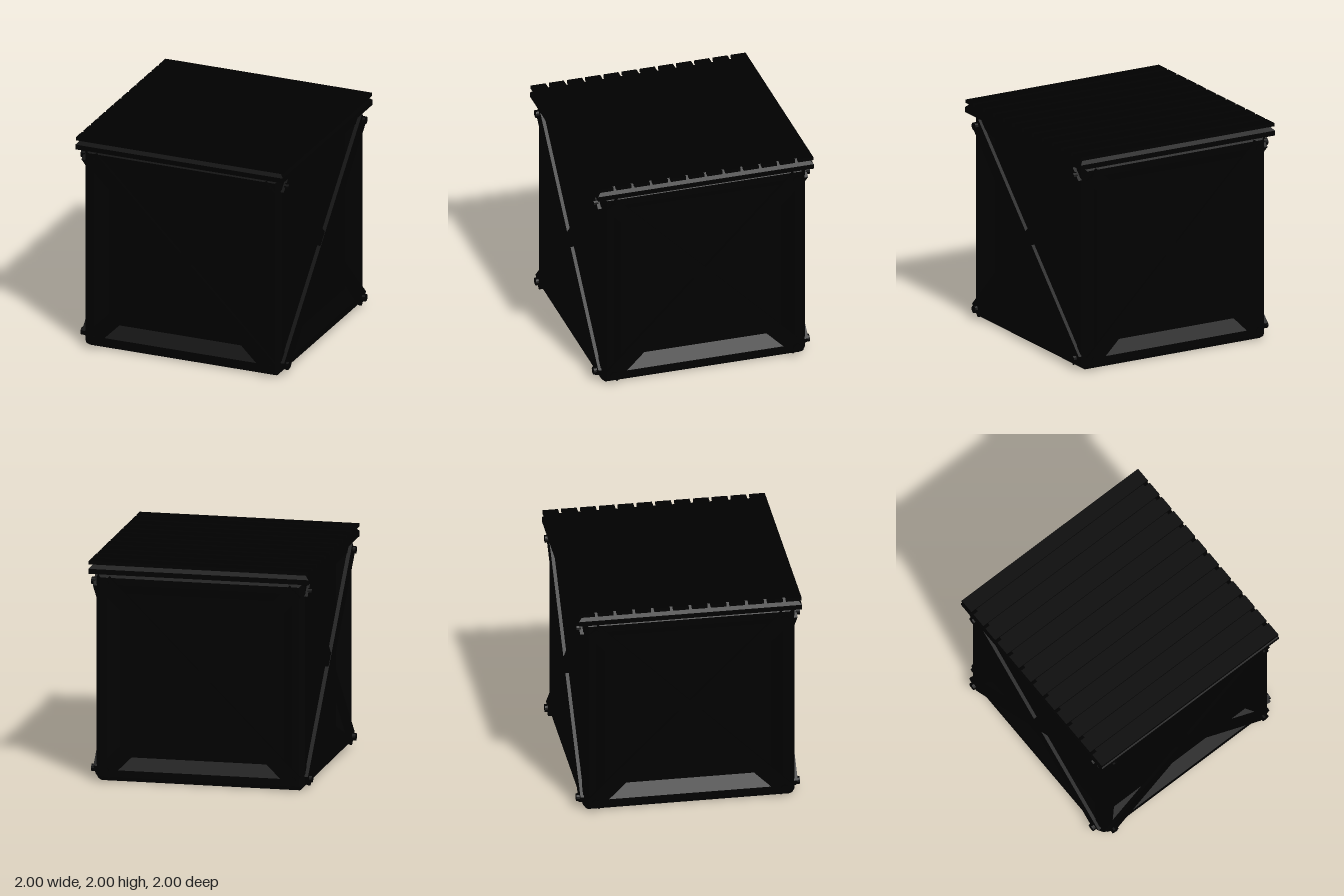
import * as THREE from 'three';

const MID = 0.945; // half height of the crate body
const material = new THREE.MeshStandardMaterial({ color: 0x000000, flatShading: true, side: THREE.DoubleSide });

function add(parent, name, geometry, x = 0, y = 0, z = 0) {
  const mesh = new THREE.Mesh(geometry, material);
  mesh.name = name;
  mesh.position.set(x, y, z);
  parent.add(mesh);
  return mesh;
}

// Square ring or slab from a profile of [half width, height] pairs
function squareLathe(profile) {
  const points = profile.map(([w, h]) => new THREE.Vector2(w * Math.SQRT2, h));
  return new THREE.LatheGeometry(points, 4, Math.PI / 4);
}

// Chamfered outer edge, flat frame, bevel and recessed panel
const framedPanel = squareLathe([
  [0.9225, 0.9225], [0.9, MID], [0.84, MID], [0.74, 0.845], [0, 0.845],
]);

// One side: framed panel with crossed braces bolted on top of the frame
function createSide() {
  const side = new THREE.Group();
  side.name = 'side';
  add(side, 'framedPanel', framedPanel).rotation.x = Math.PI / 2;

  for (const s of [-1, 1]) {
    const depth = s > 0 ? 0.035 : 0.031;
    const brace = add(side, 'diagonalBrace', new THREE.BoxGeometry(2.448, 0.14, depth), 0, 0, 0.94 + depth / 2);
    brace.rotation.z = s * Math.PI / 4;
  }

  const bolt = new THREE.CylinderGeometry(0.035, 0.035, 0.04, 12).rotateX(Math.PI / 2);
  for (const x of [-0.847, 0.847])
    for (const y of [-0.847, 0.847]) add(side, 'bolt', bolt, x, y, 0.98);
  return side;
}

export function createModel() {
  const crate = new THREE.Group();
  crate.name = 'crate';

  // Four identical sides
  for (let i = 0; i < 4; i++) {
    const side = createSide();
    side.position.y = MID;
    side.rotation.y = i * Math.PI / 2;
    crate.add(side);
  }

  // Floor and top of the body, framed like the sides
  add(crate, 'bodyTop', framedPanel, 0, MID, 0);
  add(crate, 'floor', framedPanel, 0, MID, 0).rotation.x = Math.PI;

  // Lid: bevelled slab carrying a row of slats
  const lid = new THREE.Group();
  lid.name = 'lid';
  crate.add(lid);
  add(lid, 'lidSlab', squareLathe([[0, 1.885], [0.998, 1.885], [0.998, 1.93], [0.943, 1.986], [0, 1.986]]));
  const count = 12, gap = 0.03;
  const pitch = (1.99 + gap) / count;
  const slat = new THREE.BoxGeometry(1.99, 0.03, pitch - gap);
  for (let i = 0; i < count; i++) add(lid, 'slat', slat, 0, 1.985, (i - (count - 1) / 2) * pitch);

  return crate;
}
